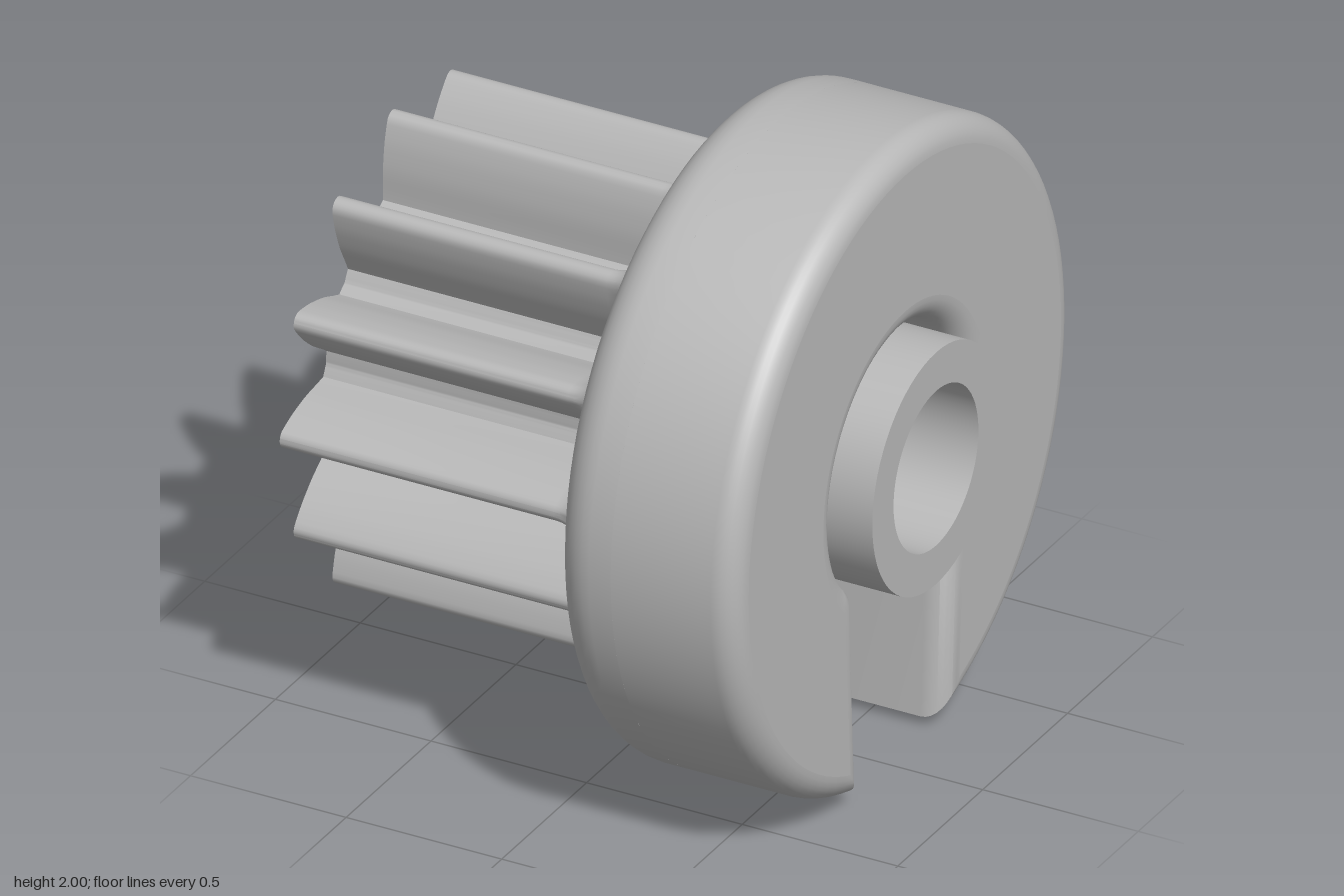
import * as THREE from 'three';
import { toCreasedNormals } from 'three/addons/utils/BufferGeometryUtils.js';

// Everything turns around the x axis; angles run from up (+y) towards +z.
const polar = (x, r, a) => new THREE.Vector3(x, r * Math.cos(a), r * Math.sin(a));
const RAD = Math.PI / 180;

// Skin between closed rings of equal point count
function loft(rings, crease) {
  const n = rings[0].length, pos = [], idx = [];
  rings.forEach(ring => ring.forEach(p => pos.push(p.x, p.y, p.z)));
  for (let i = 0; i < rings.length - 1; i++) {
    for (let j = 0; j < n; j++) {
      const k = (j + 1) % n, a = i * n + j, b = i * n + k;
      idx.push(a, b, a + n, b, b + n, a + n);
    }
  }
  const g = new THREE.BufferGeometry();
  g.setAttribute('position', new THREE.Float32BufferAttribute(pos, 3));
  g.setIndex(idx);
  return toCreasedNormals(g, crease);
}

// Turned part from [radius, x] points
function turned(points, segments = 96) {
  const g = new THREE.LatheGeometry(points.map(p => new THREE.Vector2(...p)), segments);
  return toCreasedNormals(g.rotateZ(-Math.PI / 2), 0.6);
}

// Flat face at x, looking towards +x (dir 1) or -x (dir -1)
function face(ring, holes, x, dir) {
  const shape = new THREE.Shape(ring.map(p => new THREE.Vector2(-dir * p.z, p.y)));
  for (const [y, r] of holes) shape.holes.push(new THREE.Path().absarc(0, y, r, 0, Math.PI * 2, true));
  return new THREE.ShapeGeometry(shape, 48).rotateY(dir * Math.PI / 2).translate(x, 0, 0);
}

const circle = (x, r, n = 96) => Array.from({ length: n }, (_, i) => polar(x, r, i / n * Math.PI * 2));

// Gear tooth: radius by degrees away from the tooth centre
const TEETH = 13, PITCH = 360 / TEETH, PHASE = PITCH / 4;
const TOOTH = [[0, 0.75], [1, 0.748], [2, 0.738], [4.2, 0.68], [6.7, 0.6], [8.4, 0.53], [9.4, 0.5], [13.9, 0.49]];
function toothRadius(deg) {
  const a = Math.abs(deg - PITCH * Math.round(deg / PITCH));
  for (let i = 1; i < TOOTH.length; i++) {
    const [a0, r0] = TOOTH[i - 1], [a1, r1] = TOOTH[i];
    if (a <= a1) return r0 + (r1 - r0) * (a - a0) / (a1 - a0);
  }
  return 0.49;
}

// Tooth radius after growing the outline outwards by d
function grownRadius(deg, d) {
  let best = toothRadius(deg) + d;
  for (let s = -20; s <= 20 && d > 0; s += 0.05) {
    const r = toothRadius(deg + s), side = r * Math.sin(s * RAD);
    if (Math.abs(side) < d) best = Math.max(best, r * Math.cos(s * RAD) + Math.sqrt(d * d - side * side));
  }
  return best;
}

function gearRing(x, d) {
  const per = 44, ring = [];
  const radii = Array.from({ length: per }, (_, i) => grownRadius(i / per * PITCH, d));
  for (let i = 0; i < TEETH * per; i++) ring.push(polar(x, radii[i % per], (PHASE + i / per * PITCH) * RAD));
  return ring;
}

// Disc outline with a keyhole slot open at the bottom, shrunk by d
function keyholeRing(x, d) {
  const outer = Math.PI - Math.asin((0.24 + d) / (1 - d));
  const inner = Math.PI - Math.asin((0.27 + d) / (0.4 + d));
  const ring = [];
  for (let i = 0; i <= 96; i++) ring.push(polar(x, 1 - d, outer * (i / 48 - 1)));
  for (let i = 0; i <= 64; i++) ring.push(polar(x, 0.4 + d, inner * (1 - i / 32)));
  return ring;
}

export function createModel() {
  const model = new THREE.Group();
  const body = new THREE.Group();
  body.name = 'pinionBody';
  body.position.y = 1;
  model.add(body);
  const grey = new THREE.MeshStandardMaterial({ color: 0xb8b8b8 });
  grey.name = 'grey';
  const add = (name, geometry) => {
    const mesh = new THREE.Mesh(geometry, grey);
    mesh.name = name;
    body.add(mesh);
  };

  // Toothed pinion flaring into the disc
  const gearRings = [gearRing(-0.85, 0)];
  for (let i = 0; i <= 9; i++) {
    const a = i / 9 * Math.PI / 2;
    gearRings.push(gearRing(0.03 + 0.12 * Math.sin(a), 0.12 * (1 - Math.cos(a))));
  }
  add('gearTeeth', loft(gearRings, 0.5));
  add('gearEnd', face(gearRings[0], [[0, 0.345]], -0.85, -1));

  // Rear part of the disc with its rounded rim
  const rear = [[0.36, 0.15]];
  for (let i = 0; i <= 8; i++) {
    const a = i / 8 * Math.PI / 2;
    rear.push([0.87 + 0.13 * Math.sin(a), 0.28 - 0.13 * Math.cos(a)]);
  }
  rear.push([1, 0.35]);
  add('discRear', turned(rear));

  // Front part of the disc around the keyhole recess
  const rimRings = [keyholeRing(0.35, 0)];
  for (let i = 0; i <= 8; i++) {
    const a = i / 8 * Math.PI / 2;
    rimRings.push(keyholeRing(0.67 + 0.08 * Math.sin(a), 0.08 * (1 - Math.cos(a))));
  }
  add('discFront', loft(rimRings, 0.6));
  add('discFace', face(rimRings[rimRings.length - 1], [], 0.75, 1));

  // Slot floor with three blind holes
  const holeHeights = [-0.45, -0.65, -0.85];
  add('slotFloor', face(circle(0.35, 1), [[0, 0.36], ...holeHeights.map(y => [y, 0.05])], 0.35, 1));
  for (const y of holeHeights) {
    add('blindHole', turned([[0.05, 0.35], [0.05, 0.2], [0, 0.2]], 32).translate(0, y, 0));
  }

  // Hub sleeve, stepped bore and through hole
  add('hubAndBore', turned([
    [0.375, 0.3], [0.375, 0.85], [0.25, 0.85], [0.25, 0.35],
    [0.125, 0.35], [0.125, 0], [0.345, 0], [0.345, -0.85],
  ], 64));

  return model;
}
